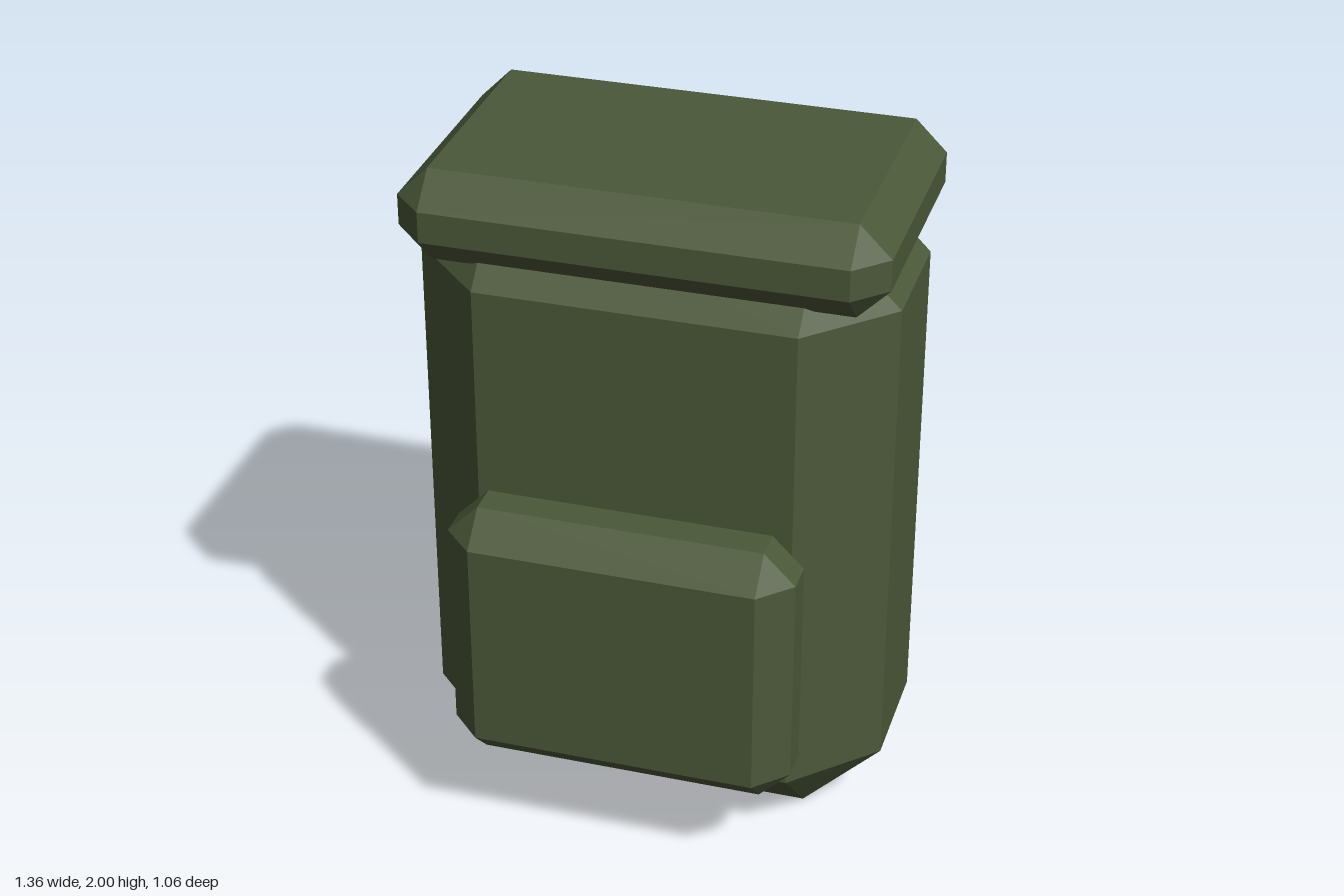
import * as THREE from 'three';
import { ConvexGeometry } from 'three/addons/geometries/ConvexGeometry.js';

// Box with every edge cut at 45 degrees: three points at each corner
function chamferedBox(min, max, c) {
  const half = max.map((v, i) => (v - min[i]) / 2);
  const mid = max.map((v, i) => (v + min[i]) / 2);
  const points = [];
  for (const sx of [-1, 1])
    for (const sy of [-1, 1])
      for (const sz of [-1, 1])
        for (let face = 0; face < 3; face++) {
          const p = [sx, sy, sz].map((s, i) => mid[i] + s * (half[i] - (i === face ? 0 : c)));
          points.push(new THREE.Vector3(...p));
        }
  return new ConvexGeometry(points);
}

export function createModel() {
  const olive = new THREE.MeshStandardMaterial({ color: 0x4b5839, flatShading: true });
  olive.name = 'olive canvas';

  const group = new THREE.Group();
  group.name = 'backpack';

  const add = (name, min, max, chamfer) => {
    const mesh = new THREE.Mesh(chamferedBox(min, max, chamfer), olive);
    mesh.name = name;
    group.add(mesh);
  };

  // Main bag, its bevelled top tucked inside the lid
  add('body', [-0.68, 0, -0.507], [0.68, 1.91, 0.308], 0.227);
  // Overhanging lid
  add('lid', [-0.68, 1.73, -0.532], [0.68, 2, 0.326], 0.09);
  // Front pocket, set slightly into the bag
  add('frontPocket', [-0.498, 0.276, 0.26], [0.498, 1.09, 0.532], 0.09);

  return group;
}
